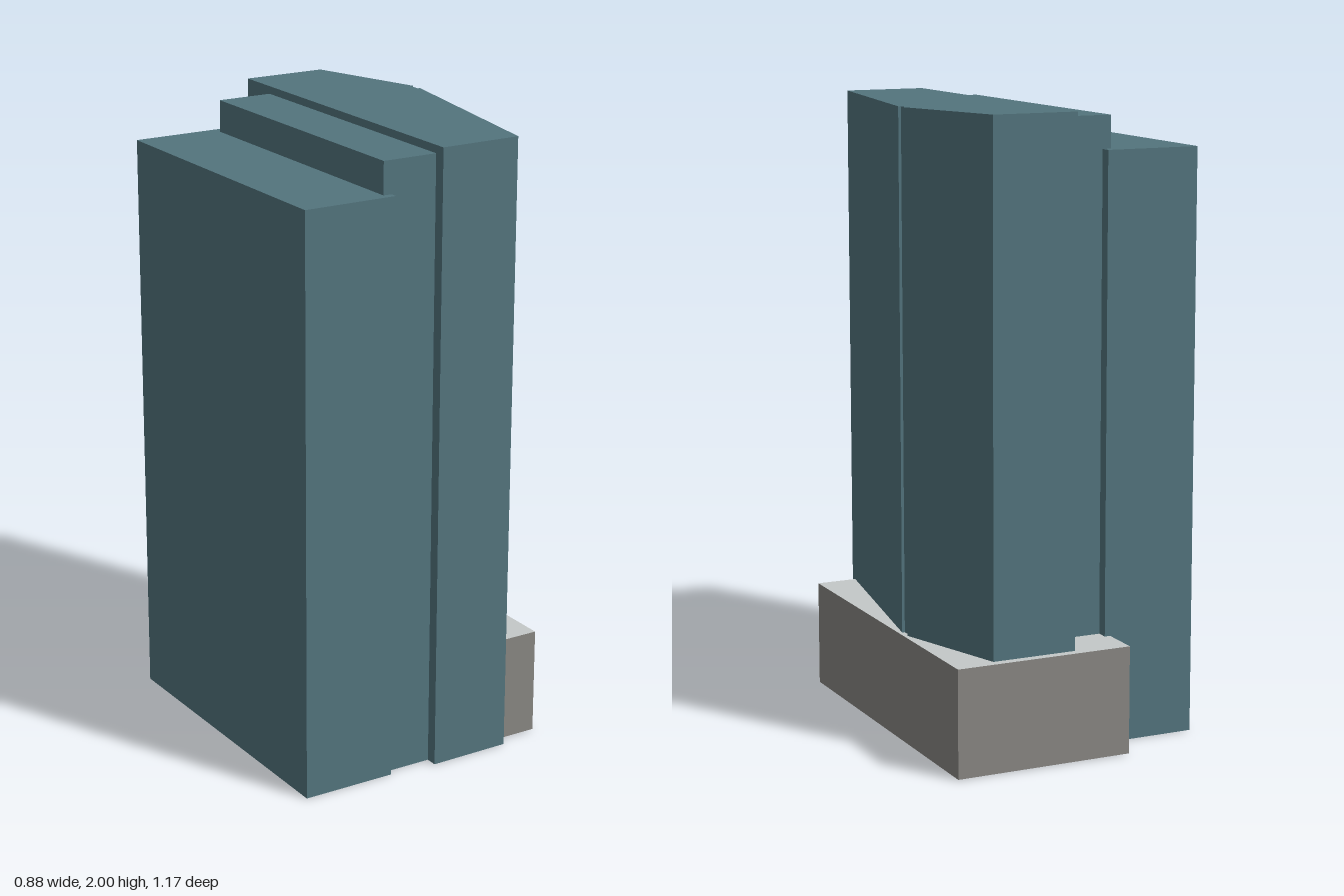
import * as THREE from 'three';

const facade = new THREE.MeshStandardMaterial({ color: 0x53747d });
facade.name = 'blueGreyFacade';
const stone = new THREE.MeshStandardMaterial({ color: 0x888682 });
stone.name = 'greyStone';
const terrace = new THREE.MeshStandardMaterial({ color: 0xc4c8c8 });
terrace.name = 'paleTerrace';

// Upright prism from a plan given as [x, z] corners, standing on y = base
function prism(name, plan, base, top, materials) {
  const shape = new THREE.Shape(plan.map(([x, z]) => new THREE.Vector2(x, -z)));
  const geometry = new THREE.ExtrudeGeometry(shape, { depth: top - base, bevelEnabled: false });
  geometry.rotateX(-Math.PI / 2);
  geometry.translate(0, base, 0);
  const mesh = new THREE.Mesh(geometry, materials);
  mesh.name = name;
  return mesh;
}

// Axis-aligned block between two plan corners
function block(name, [x0, x1], [y0, y1], [z0, z1], materials) {
  const mesh = new THREE.Mesh(new THREE.BoxGeometry(x1 - x0, y1 - y0, z1 - z0), materials);
  mesh.position.set((x0 + x1) / 2, (y0 + y1) / 2, (z0 + z1) / 2);
  mesh.name = name;
  return mesh;
}

export function createModel() {
  const group = new THREE.Group();
  group.name = 'officeTower';

  // Two stepped slabs
  group.add(block('lowSlab', [-0.44, -0.13], [0, 1.872], [-0.457, 0.571], facade));
  group.add(block('middleSlab', [-0.158, 0.028], [0, 1.975], [-0.42, 0.547], facade));

  // Tallest slab, with a folded side and a narrow vertical groove at the fold
  group.add(prism('tallSlab', [
    [0.027, -0.56], [0.305, -0.56], [0.424, -0.182], [0.415, -0.182],
    [0.415, -0.14], [0.424, -0.14], [0.295, 0.582], [0.025, 0.585],
  ], 0, 2, facade));

  // Podium with a pale terrace on top; its underside sits just above the slabs'
  group.add(block('podium', [-0.149, 0.436], [0.002, 0.348], [-0.588, 0.545],
    [stone, stone, terrace, stone, stone, stone]));

  return group;
}
